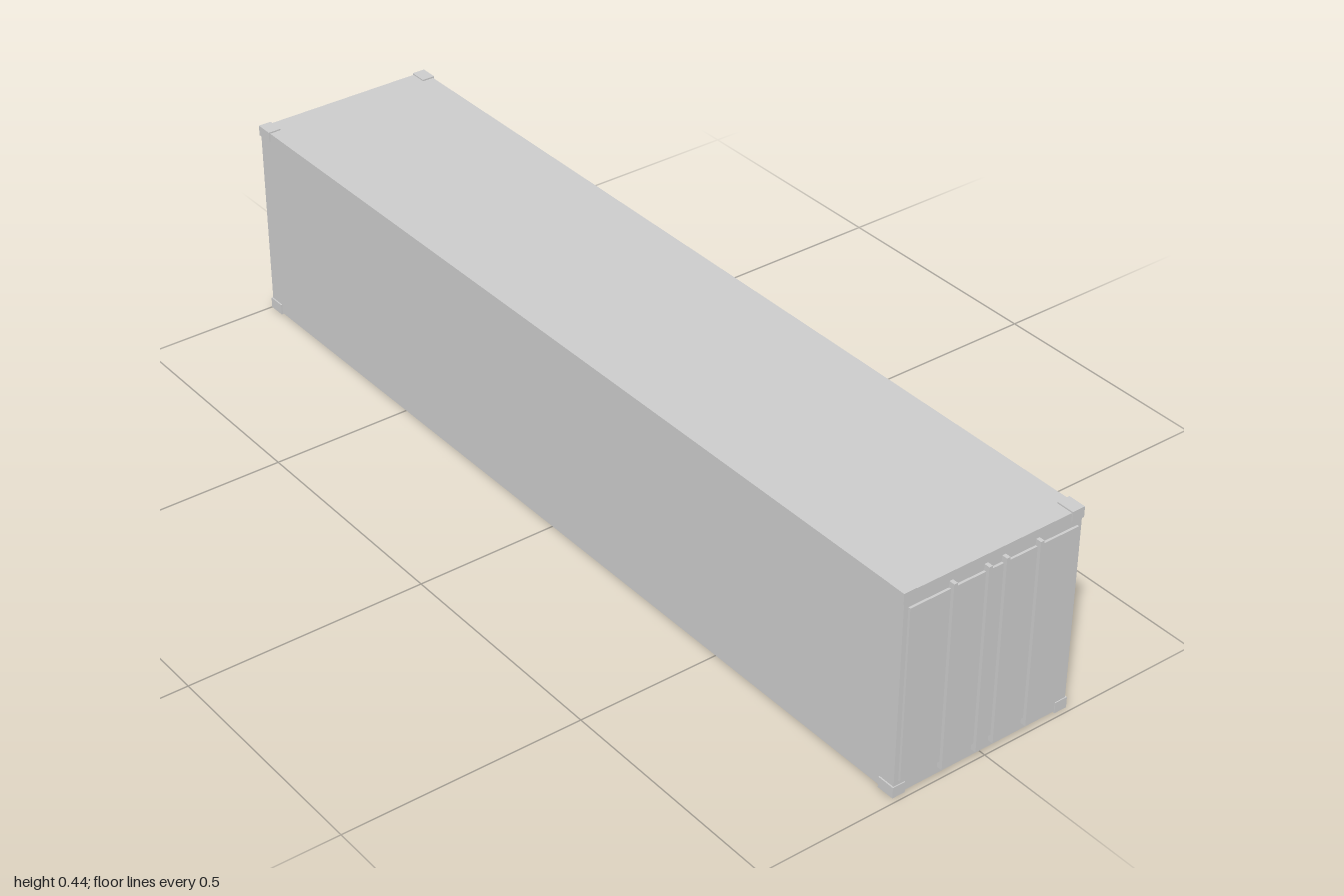
import * as THREE from 'three';

export function createModel() {
  const group = new THREE.Group();
  group.name = 'shippingContainer';
  const material = new THREE.MeshStandardMaterial({ color: 0xcccccc, flatShading: true });

  // Box given by its min and max corners
  const box = (name, [x0, y0, z0], [x1, y1, z1]) => {
    const mesh = new THREE.Mesh(new THREE.BoxGeometry(x1 - x0, y1 - y0, z1 - z0), material);
    mesh.position.set((x0 + x1) / 2, (y0 + y1) / 2, (z0 + z1) / 2);
    mesh.name = name;
    group.add(mesh);
  };

  // Main hull
  box('body', [-0.2, 0.003, -0.998], [0.2, 0.432, 0.988]);

  // Corner castings, standing slightly proud of the hull
  for (const [x0, x1] of [[-0.203, -0.175], [0.175, 0.203]])
    for (const [y0, y1] of [[0, 0.023], [0.413, 0.435]])
      for (const [z0, z1] of [[-1, -0.962], [0.952, 0.99]])
        box('cornerCasting', [x0, y0, z0], [x1, y1, z1]);

  // Raised door panel on the front
  box('doorPanel', [-0.19, 0.032, 0.98], [0.19, 0.401, 0.993]);

  // Vertical locking bars
  for (const x of [-0.097, -0.019, 0.021, 0.098])
    box('lockingBar', [x - 0.004, 0.017, 0.986], [x + 0.004, 0.414, 1]);

  return group;
}
